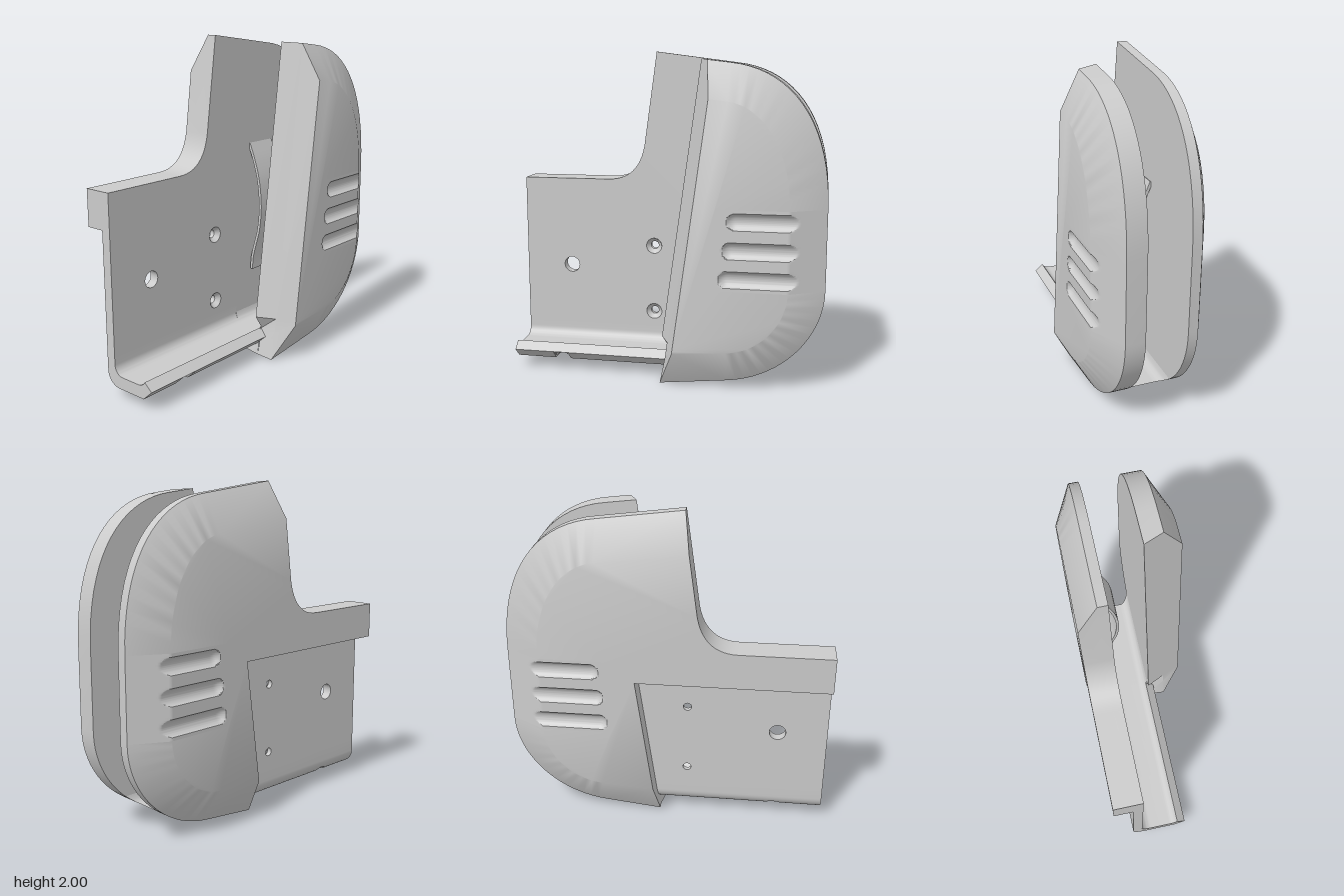
import * as THREE from 'three';
import { mergeGeometries, toCreasedNormals } from 'three/addons/utils/BufferGeometryUtils.js';

const V = (x, y) => new THREE.Vector2(x, y);
const material = new THREE.MeshStandardMaterial({ color: 0xcccccc });
const doubleSided = new THREE.MeshStandardMaterial({ color: 0xcccccc, side: THREE.DoubleSide });

// Shared sizes
const RIM_Z = 0.213, FACE_Z = 0.33, FRONT_IN = 0.095, BACK_IN = 0.155;
const EDGE_X = 0.968, FLAT_X = 0.757, PATCH_X = 0.335, Y_HI = 1.11, Y_LO = 0.63;
const FLOOR = 0.14, FILLET = 0.06;

const bezier = (n, ...p) => new THREE.CubicBezierCurve(...p.map(q => V(...q))).getPoints(n);
// Outline at the rim and the smaller outline of the flat face, top to bottom
const rimArc = [
  ...bezier(18, [0.4, 1.935], [0.73, 1.9], [EDGE_X, 1.63], [EDGE_X, Y_HI]),
  ...bezier(18, [EDGE_X, Y_LO], [EDGE_X, 0.35], [0.73, 0.08], [0.4, 0.045]),
];
const faceArc = [
  ...bezier(18, [0.4, 1.72], [0.6, 1.695], [FLAT_X, 1.46], [FLAT_X, Y_HI]),
  ...bezier(18, [FLAT_X, Y_LO], [FLAT_X, 0.46], [0.61, 0.27], [0.4, 0.255]),
];
const GAP = 19; // index of the straight stretch that the grooved patch fills
// Slanted edge, leaning with height and with depth
const slant = (y, z) => -0.055 + 0.138 * y + 0.105 * (z - FRONT_IN) / 0.235;

function bare(geometry) {
  const g = geometry.index ? geometry.toNonIndexed() : geometry;
  g.deleteAttribute('uv');
  g.deleteAttribute('normal');
  return g;
}

function flip(geometry) {
  const p = geometry.attributes.position.array;
  for (let i = 0; i < p.length; i += 9)
    for (let k = 0; k < 3; k++) [p[i + 3 + k], p[i + 6 + k]] = [p[i + 6 + k], p[i + 3 + k]];
  return geometry;
}

const cap = (pts, z) => bare(new THREE.ShapeGeometry(new THREE.Shape(pts)).translate(0, 0, z));

// Skin over matching rings stacked along z; skips one quad of the last band if asked
function loft(rings, skip = -1) {
  const out = [];
  const sets = rings.map(r => ({ z: r.z, p: THREE.ShapeUtils.isClockWise(r.pts) ? r.pts : [...r.pts].reverse() }));
  for (let i = 0; i < sets.length - 1; i++) {
    const A = sets[i], B = sets[i + 1], n = A.p.length;
    for (let j = 0; j < n; j++) {
      if (j === skip && i === sets.length - 2) continue;
      const k = (j + 1) % n;
      const a = [A.p[j].x, A.p[j].y, A.z], b = [A.p[k].x, A.p[k].y, A.z];
      const c = [B.p[k].x, B.p[k].y, B.z], d = [B.p[j].x, B.p[j].y, B.z];
      out.push(...a, ...d, ...c, ...a, ...c, ...b);
    }
  }
  return new THREE.BufferGeometry().setAttribute('position', new THREE.Float32BufferAttribute(out, 3));
}

const finish = parts => toCreasedNormals(mergeGeometries(parts), 0.55);

// Area of face and chamfer with three round-ended grip grooves
function groovedPatch() {
  const w = EDGE_X - PATCH_X, h = Y_HI - Y_LO;
  const g = new THREE.PlaneGeometry(w, h, 60, 96).translate(PATCH_X + w / 2, Y_LO + h / 2, 0);
  const grooves = [[0.4, 1.04], [0.375, 0.87], [0.355, 0.7]];
  const p = g.attributes.position, r = 0.0567;
  for (let i = 0; i < p.count; i++) {
    const x = p.getX(i), y = p.getY(i);
    let z = Math.min(FACE_Z, FACE_Z - (FACE_Z - RIM_Z) * (x - FLAT_X) / (EDGE_X - FLAT_X));
    for (const [x0, yc] of grooves) {
      const d = Math.hypot(Math.min(0, x - x0 - 0.05), y - yc);
      if (d < 0.05) z = Math.min(z, 0.3567 - Math.sqrt(r * r - d * d));
    }
    p.setZ(i, z);
  }
  return bare(g);
}

// Chamfered plate: inner ring, rim ring, face ring
function plate(inner, rim, face, zIn) {
  const detour = [...face];
  detour.splice(GAP + 1, 0, V(PATCH_X, Y_HI), V(PATCH_X, Y_LO));
  return mergeGeometries([
    loft([{ pts: inner, z: zIn }, { pts: rim, z: RIM_Z }, { pts: face, z: FACE_Z }], GAP),
    flip(cap(inner, zIn)), cap(detour, FACE_Z), groovedPatch(),
  ]);
}

function frontPlate() {
  const ring = (arc, z, top, end) => {
    const x = slant(top, z);
    return [V(x, arc[0].y + 0.12 * (0.4 - x)), ...arc, ...end];
  };
  return finish([plate(
    ring(rimArc, FRONT_IN, 1.96, [V(0, 0), V(0.04, 0.17), V(-0.02, 0.26)]),
    ring(rimArc, RIM_Z, 1.95, [V(-0.012, 0), V(0.022, 0.17), V(slant(0.26, RIM_Z), 0.26)]),
    ring(faceArc, FACE_Z, 1.73, [V(0.082, 0.23), V(0.084, 0.245), V(0.086, 0.26)]),
    FRONT_IN)]);
}

function backPlate() {
  const fillet = new THREE.QuadraticBezierCurve(V(-0.42, 1.2), V(-0.22, 1.2), V(-0.18, 1.42)).getPoints(12);
  const left = [V(slant(0.98, FACE_Z), 0.98), V(-0.97, 0.98), V(-0.97, 1.2), ...fillet];
  const rim = [V(-0.1, 2), ...rimArc, V(0.05, 0.005), ...left];
  const face = [V(-0.131, 1.785), ...faceArc, V(slant(0.23, FACE_Z), 0.23), ...left];
  return finish([flip(plate(rim, rim, face, BACK_IN).scale(1, 1, -1))]);
}

// Height of the channel floor, rounded up into both walls
function floorAt(z) {
  const d = Math.max(0, FILLET - Math.min(z + BACK_IN, FRONT_IN - z));
  return FLOOR + FILLET - Math.sqrt(Math.max(0, FILLET * FILLET - d * d));
}

// Solid web joining the two plates along the bottom
function web() {
  const low = [...rimArc.slice(GAP), V(0, 0)];
  const xAt = y => {
    const i = Math.max(1, low.findIndex(p => p.y <= y + 1e-9));
    const a = low[i - 1], b = low[i];
    return a.x + (b.x - a.x) * (a.y - y) / (a.y - b.y);
  };
  const rings = [];
  for (let i = 0; i <= 32; i++) {
    const t = i / 32, z = -BACK_IN + t * (FRONT_IN + BACK_IN);
    const h = floorAt(z), left = 0.05 * (1 - t), pts = [];
    for (let k = 0; k <= 20; k++) {
      const y = h * (1 - k / 20);
      pts.push(V(Math.max(left, xAt(y)), y));
    }
    pts.push(V(left + 0.03, h));
    rings.push({ pts, z });
  }
  return finish([loft(rings)]);
}

// Curled lower lip: a J section swept along x, with a small round notch underneath
function lip() {
  const arc = (cx, cy, r, a0, a1) => Array.from({ length: 13 }, (_, i) => {
    const a = THREE.MathUtils.degToRad(a0 + (a1 - a0) * i / 12);
    return V(cx + r * Math.cos(a), cy + r * Math.sin(a));
  });
  const section = [
    V(0.155, 0.25), ...arc(0.095, 0.2, 0.06, 0, -90), ...arc(-0.035, 0.2, 0.06, -90, -150),
    V(-0.14, 0.125), V(-0.075, 0.065), ...arc(0.125, 0.155, 0.09, -90, 0), V(0.215, 0.25),
  ];
  const xs = [-0.97];
  for (let i = 0; i <= 16; i++) xs.push(-0.67 - 0.05 * Math.cos(Math.PI * i / 16));
  xs.push(0.085);
  const rings = xs.map(x => {
    const s = 0.0025 - (x + 0.67) ** 2;
    const cut = s > 1e-9 ? 0.053 + Math.sqrt(s) : 0;
    return { z: x, pts: section.map(p => V(p.x, Math.max(p.y, cut))) };
  });
  return finish([loft(rings), flip(cap(rings[0].pts, -0.97)), cap(rings.at(-1).pts, 0.085)]).rotateY(Math.PI / 2);
}

const screws = [[-0.12, 0.775], [-0.12, 0.34]];

// One layer of the thin mounting wall, with its holes
function wallLayer(z, depth, screwRadius) {
  const shape = new THREE.Shape([
    V(-0.97, 0.25), V(slant(0.25, FACE_Z), 0.25), V(slant(0.98, FACE_Z), 0.98), V(-0.97, 0.98)]);
  for (const [x, y, r] of [[-0.67, 0.63, 0.05], ...screws.map(s => [...s, screwRadius])])
    shape.holes.push(new THREE.Path().absarc(x, y, r, 0, Math.PI * 2, true));
  return new THREE.ExtrudeGeometry(shape, { depth, bevelEnabled: false, curveSegments: 32 }).translate(0, 0, z);
}

// Bowed leaf spring inside the channel
function leafSpring() {
  const line = new THREE.SplineCurve([
    V(0.158, 1.31), V(0.112, 1.19), V(0.078, 1.06), V(0.064, 0.9),
    V(0.078, 0.75), V(0.108, 0.64), V(0.13, 0.55), V(0.136, 0.47)]);
  const a = [], b = [];
  for (let i = 0; i <= 40; i++) {
    const p = line.getPoint(i / 40), t = line.getTangent(i / 40);
    a.push(V(p.x - t.y * 0.009, p.y + t.x * 0.009));
    b.unshift(V(p.x + t.y * 0.009, p.y - t.x * 0.009));
  }
  const g = new THREE.ExtrudeGeometry(new THREE.Shape([...a, ...b]), { depth: 0.215, bevelEnabled: false });
  return toCreasedNormals(bare(g), 0.55).rotateY(Math.PI / 2).translate(0.215, 0, 0);
}

export function createModel() {
  const group = new THREE.Group();
  const add = (name, geometry, mat = material) => {
    const mesh = new THREE.Mesh(geometry, mat);
    mesh.name = name;
    group.add(mesh);
    return mesh;
  };
  add('frontPlate', frontPlate());
  add('backPlate', backPlate());
  add('bottomWeb', web());
  add('lowerLip', lip());
  add('wallFront', wallLayer(-0.185, 0.03, 0.05));
  add('wallBack', wallLayer(-0.215, 0.03, 0.025));
  // Conical screw seats
  for (const [x, y] of screws) {
    const cone = new THREE.LatheGeometry([V(0.025, -0.03), V(0.05, 0)], 32).rotateX(Math.PI / 2);
    add('screwSeat', cone, doubleSided).position.set(x, y, -BACK_IN);
  }
  add('leafSpring', leafSpring());
  return group;
}
